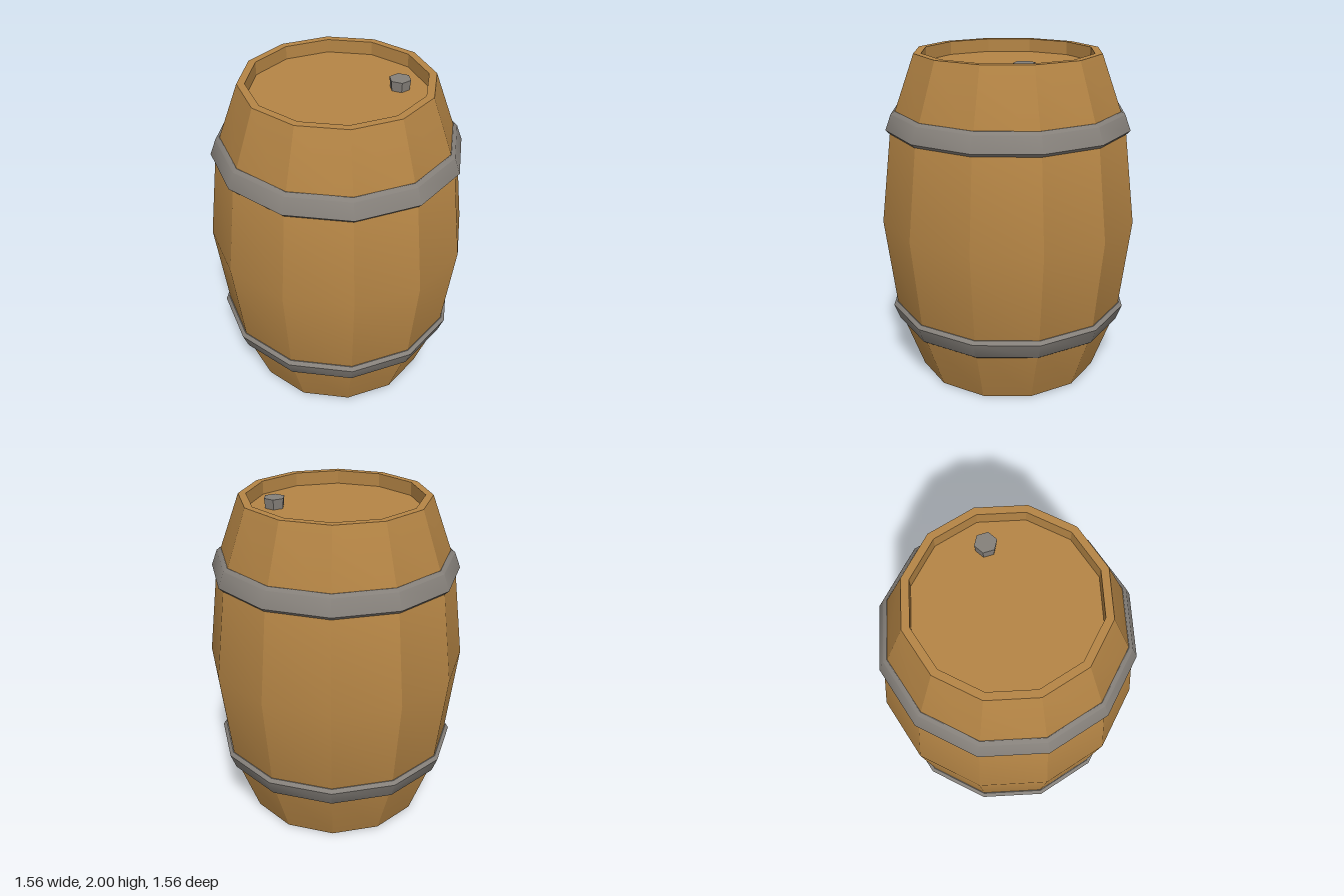
import * as THREE from 'three';
import { toCreasedNormals } from 'three/addons/utils/BufferGeometryUtils.js';

const SIDES = 12;

// Twelve-sided turned part; edges sharper than the given angle stay crisp
function turned(name, profile, material, creaseDegrees) {
  const points = profile.map(([r, y]) => new THREE.Vector2(r, y));
  const geometry = toCreasedNormals(
    new THREE.LatheGeometry(points, SIDES), THREE.MathUtils.degToRad(creaseDegrees));
  const mesh = new THREE.Mesh(geometry, material);
  mesh.name = name;
  return mesh;
}

// Flip a profile about mid-height, keeping its bottom-to-top order
const flip = (profile) => profile.map(([r, y]) => [r, 2 - y]).reverse();

export function createModel() {
  const wood = new THREE.MeshStandardMaterial({ color: 0xb58545 });
  wood.name = 'wood';
  const iron = new THREE.MeshStandardMaterial({ color: 0x85807a });
  iron.name = 'iron';

  const barrel = new THREE.Group();
  barrel.name = 'barrel';

  // Staves with recessed heads at both ends
  const lowerHalf = [[0, 0.08], [0.515, 0.08], [0.515, 0], [0.56, 0], [0.709, 0.41]];
  barrel.add(turned('staves', [...lowerHalf, [0.78, 1], ...flip(lowerHalf)], wood, 25));

  // Iron hoops, mirrored about the middle
  const hoop = [
    [0.69, 1.542], [0.72, 1.542], [0.74, 1.562],
    [0.705, 1.656], [0.682, 1.672], [0.65, 1.672],
  ];
  barrel.add(turned('upperHoop', hoop, iron, 35));
  barrel.add(turned('lowerHoop', flip(hoop), iron, 35));

  // Hexagonal plug in the top head
  const plug = new THREE.Mesh(
    toCreasedNormals(new THREE.CylinderGeometry(0.064, 0.058, 0.06, 6), 0.5), iron);
  plug.name = 'plug';
  plug.position.set(0.175, 1.95, -0.305);
  barrel.add(plug);

  return barrel;
}
